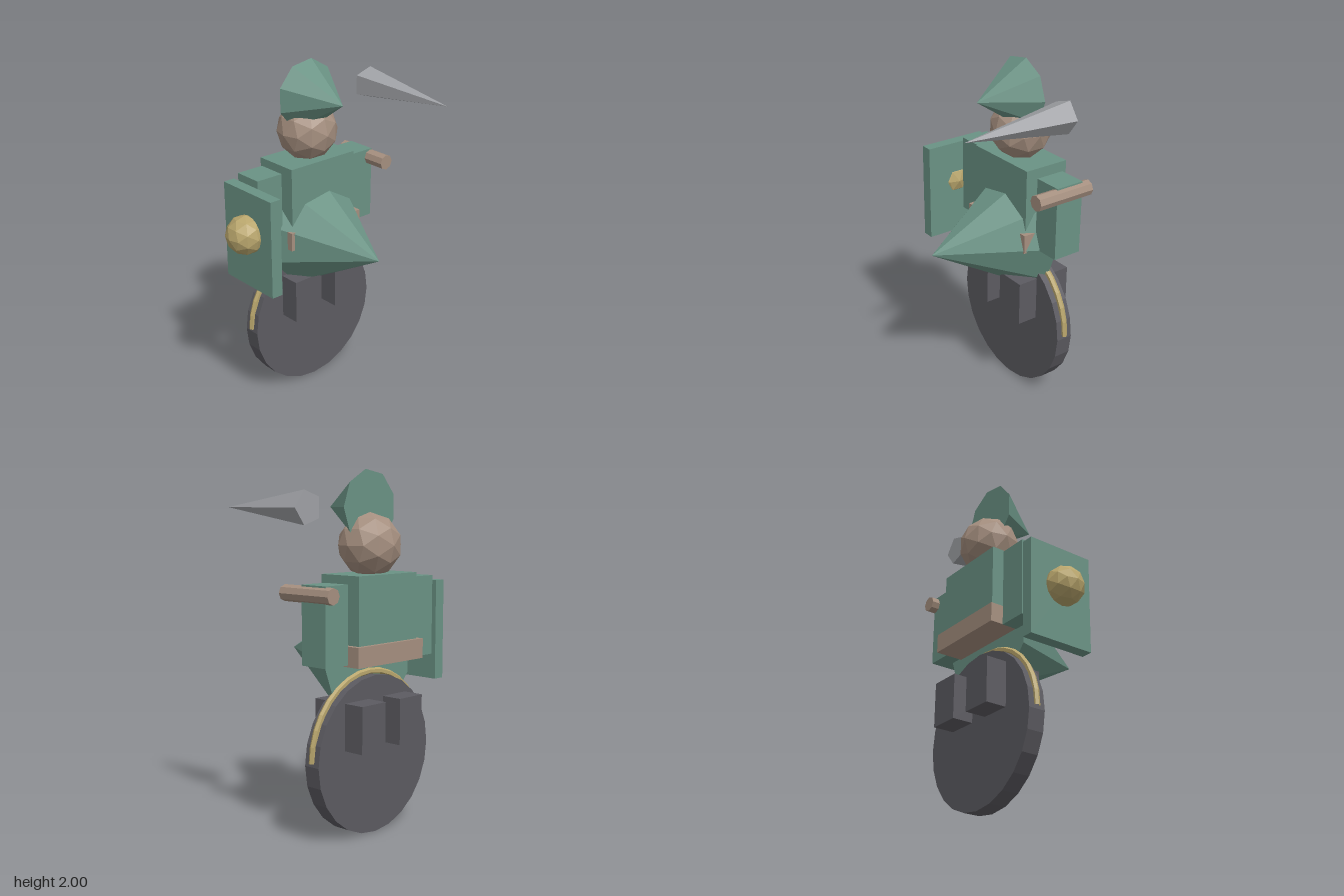
import * as THREE from 'three';

const material = (name, color) => {
  const m = new THREE.MeshStandardMaterial({ color });
  m.name = name;
  return m;
};

export function createModel() {
  const green = material('muted green', 0x6a9284);
  const dark = material('dark grey', 0x5c5b61);
  const tan = material('tan', 0xa58f7f);
  const gold = material('dull gold', 0xb8a56c);
  const steel = material('steel grey', 0x9fa1a5);
  gold.side = THREE.DoubleSide; // the guard is open at its ends

  const group = new THREE.Group();
  const midX = 0.068, midZ = -0.25;

  // Adds a faceted mesh
  const add = (name, geometry, mat, x, y, z) => {
    const flat = geometry.index ? geometry.toNonIndexed() : geometry;
    flat.computeVertexNormals();
    const mesh = new THREE.Mesh(flat, mat);
    mesh.name = name;
    mesh.position.set(x, y, z);
    group.add(mesh);
  };
  // Box from its lower and upper corner
  const box = (name, mat, [x0, y0, z0], [x1, y1, z1]) =>
    add(name, new THREE.BoxGeometry(x1 - x0, y1 - y0, z1 - z0), mat,
      (x0 + x1) / 2, (y0 + y1) / 2, (z0 + z1) / 2);
  // Cylinder or cone along z, with a corner on +x
  const rod = (name, mat, rFront, rBack, sides, x, y, zBack, zFront) =>
    add(name, new THREE.CylinderGeometry(rFront, rBack, zFront - zBack, sides, 1, false, Math.PI / 2)
      .rotateX(Math.PI / 2), mat, x, y, (zBack + zFront) / 2);
  const ball = (name, mat, r, x, y, z) =>
    add(name, new THREE.IcosahedronGeometry(r, 1), mat, x, y, z);

  // Wheel with its guard and the two feet
  rod('wheel', dark, 0.444, 0.444, 24, midX, 0.446, -0.301, -0.2);
  add('wheelGuard', new THREE.TorusGeometry(0.442, 0.018, 6, 16, Math.PI), gold, midX, 0.465, midZ);
  box('rightFoot', dark, [-0.177, 0.505, -0.426], [0.009, 0.764, -0.077]);
  box('leftFoot', dark, [0.127, 0.505, -0.426], [0.312, 0.764, -0.077]);

  // Body
  box('torso', green, [-0.164, 0.99, -0.391], [0.302, 1.445, -0.116]);
  box('belt', tan, [-0.193, 0.967, -0.416], [0.331, 1.077, -0.088]);
  rod('frontCone', green, 0, 0.35, 9, midX, 0.98, midZ, 0.35);
  box('rightArm', green, [-0.364, 0.964, -0.341], [-0.195, 1.416, -0.167]);
  box('leftArm', green, [0.331, 0.977, -0.341], [0.498, 1.402, -0.167]);

  // Head and hat
  ball('head', tan, 0.176, midX, 1.597, -0.252);
  rod('hat', green, 0, 0.204, 9, midX, 1.8, -0.253, 0.046);

  // Shield with its boss
  box('shield', green, [-0.455, 0.816, -0.351], [-0.386, 1.386, 0.056]);
  ball('shieldBoss', gold, 0.114, -0.476, 1.143, -0.141);

  // Forearm and floating spike
  rod('leftForearm', tan, 0.045, 0.045, 8, 0.488, 1.352, -0.389, -0.03);
  rod('spike', steel, 0, 0.095, 5, 0.488, 1.798, -0.21, 0.425);

  return group;
}
